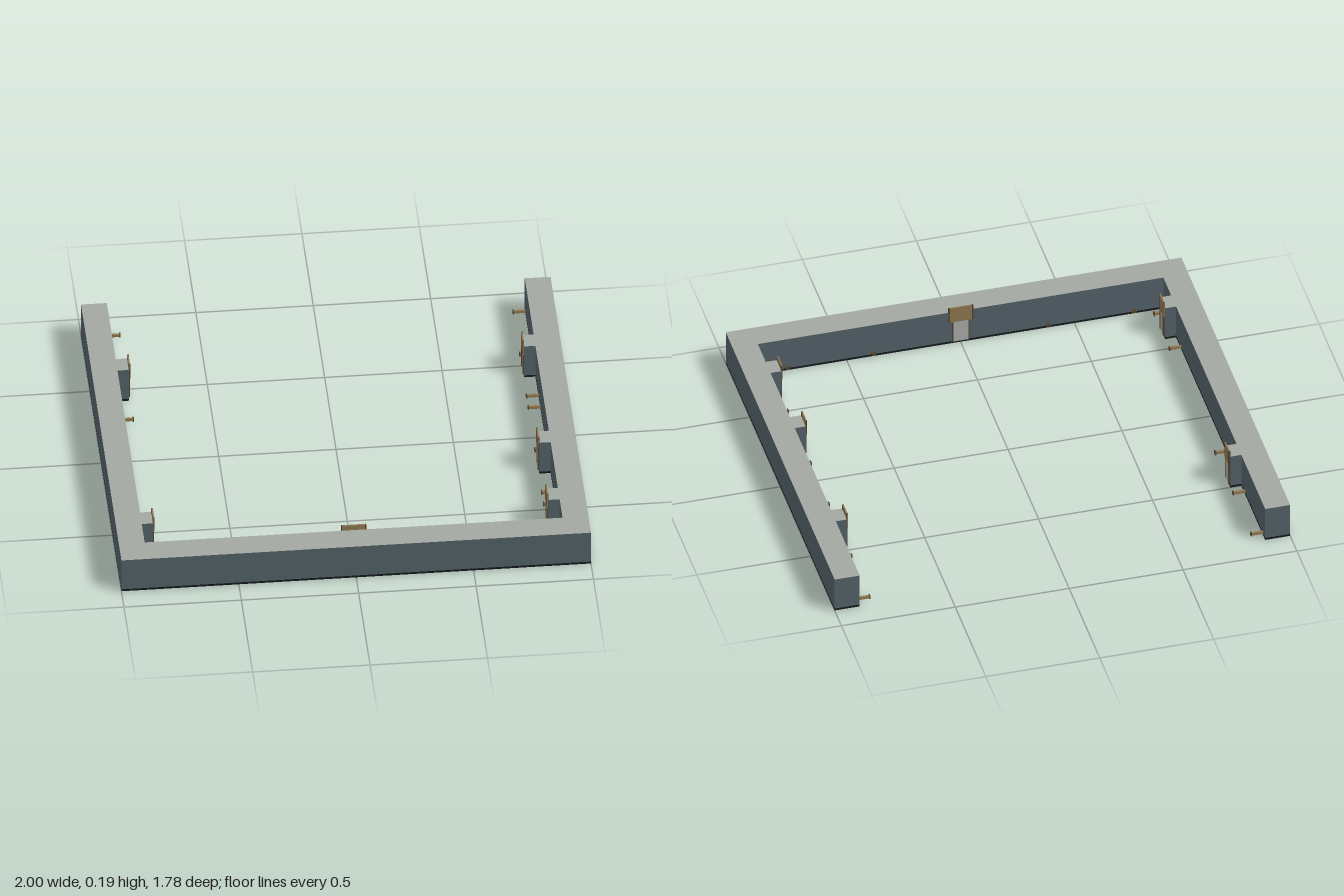
import * as THREE from 'three';

const mat = (name, color) => {
  const m = new THREE.MeshStandardMaterial({ color });
  m.name = name;
  return m;
};

export function createModel() {
  const root = new THREE.Group();
  root.name = 'courtyardWall';
  const slate = mat('slateWall', 0x536168);
  const cap = mat('greyCap', 0xa3a7a1);
  const black = mat('blackBase', 0x14191b);
  const tan = mat('tanBoard', 0x8f7650);
  const brown = mat('darkBrownTrim', 0x54432d);
  const pale = mat('palePanel', 0xa9aca8);

  const H = 0.165, BASE = 0.01, OUT = 1, IN = 0.89, PIER = 0.842;
  const BACK = -0.89, FRONT = 0.89, INNER = 0.775;
  const leftPiers = [-0.46, 0.21, 0.607], rightPiers = [-0.46, 0.607];
  const leftPegs = [-0.855, -0.56, -0.27, -0.19, 0.105, 0.4, 0.48, 0.73];
  const rightPegs = [-0.855, -0.56, -0.27, 0.48, 0.73];

  const box = (parent, name, m, size, pos) => {
    const mesh = new THREE.Mesh(new THREE.BoxGeometry(...size), m);
    mesh.name = name;
    mesh.position.set(...pos);
    parent.add(mesh);
    return mesh;
  };

  // U-shaped plan with projecting piers along the inner faces
  const pts = [[-OUT, BACK], [-OUT, FRONT], [OUT, FRONT], [OUT, BACK], [IN, BACK]];
  for (const z of leftPiers) {
    pts.push([IN, z - 0.04], [PIER, z - 0.04], [PIER, z + 0.04], [IN, z + 0.04]);
  }
  pts.push([IN, INNER], [-IN, INNER]);
  for (const z of [...rightPiers].reverse()) {
    pts.push([-IN, z + 0.04], [-PIER, z + 0.04], [-PIER, z - 0.04], [-IN, z - 0.04]);
  }
  pts.push([-IN, BACK]);
  const plan = new THREE.Shape(pts.map(([x, z]) => new THREE.Vector2(x, -z)));
  const slab = (name, y, depth, materials) => {
    const geo = new THREE.ExtrudeGeometry(plan, { depth, bevelEnabled: false });
    geo.rotateX(-Math.PI / 2);
    const mesh = new THREE.Mesh(geo, materials);
    mesh.name = name;
    mesh.position.y = y;
    root.add(mesh);
  };
  slab('base', 0, BASE, black);
  slab('wall', BASE, H - BASE, [cap, slate]);

  // Doorway: pale panel in trim with a board above; local +z faces the courtyard
  const doorway = (x, z, angle, width) => {
    const g = new THREE.Group();
    g.name = 'doorway';
    const w = width * 0.62;
    box(g, 'board', tan, [width, 0.075, 0.006], [0, 0.1525, 0.003]);
    box(g, 'panel', pale, [w, 0.105, 0.004], [0, 0.0625, 0.002]);
    for (const s of [-1, 1]) {
      box(g, 'doorTrim', brown, [0.005, 0.105, 0.006], [s * (w / 2 + 0.0025), 0.0625, 0.003]);
      box(g, 'boardTrim', brown, [0.005, 0.075, 0.008], [s * (width / 2 - 0.0025), 0.1525, 0.003]);
    }
    g.position.set(x, 0, z);
    g.rotation.y = angle;
    root.add(g);
  };
  for (const z of leftPiers) doorway(PIER, z, -Math.PI / 2, 0.068);
  for (const z of rightPiers) doorway(-PIER, z, Math.PI / 2, 0.068);
  doorway(0, INNER, Math.PI, 0.108);

  // Low pegs with dark tips along the inner faces
  const pegs = (side, list) => {
    for (const z of list) {
      box(root, 'peg', tan, [0.05, 0.012, 0.01], [side * 0.865, 0.016, z]);
      box(root, 'pegTip', brown, [0.005, 0.016, 0.016], [side * 0.8375, 0.016, z]);
    }
  };
  pegs(1, leftPegs);
  pegs(-1, rightPegs);
  for (const x of [-0.76, -0.383, 0.383, 0.76]) {
    box(root, 'frontPeg', brown, [0.016, 0.014, 0.012], [x, 0.016, 0.769]);
  }
  return root;
}
